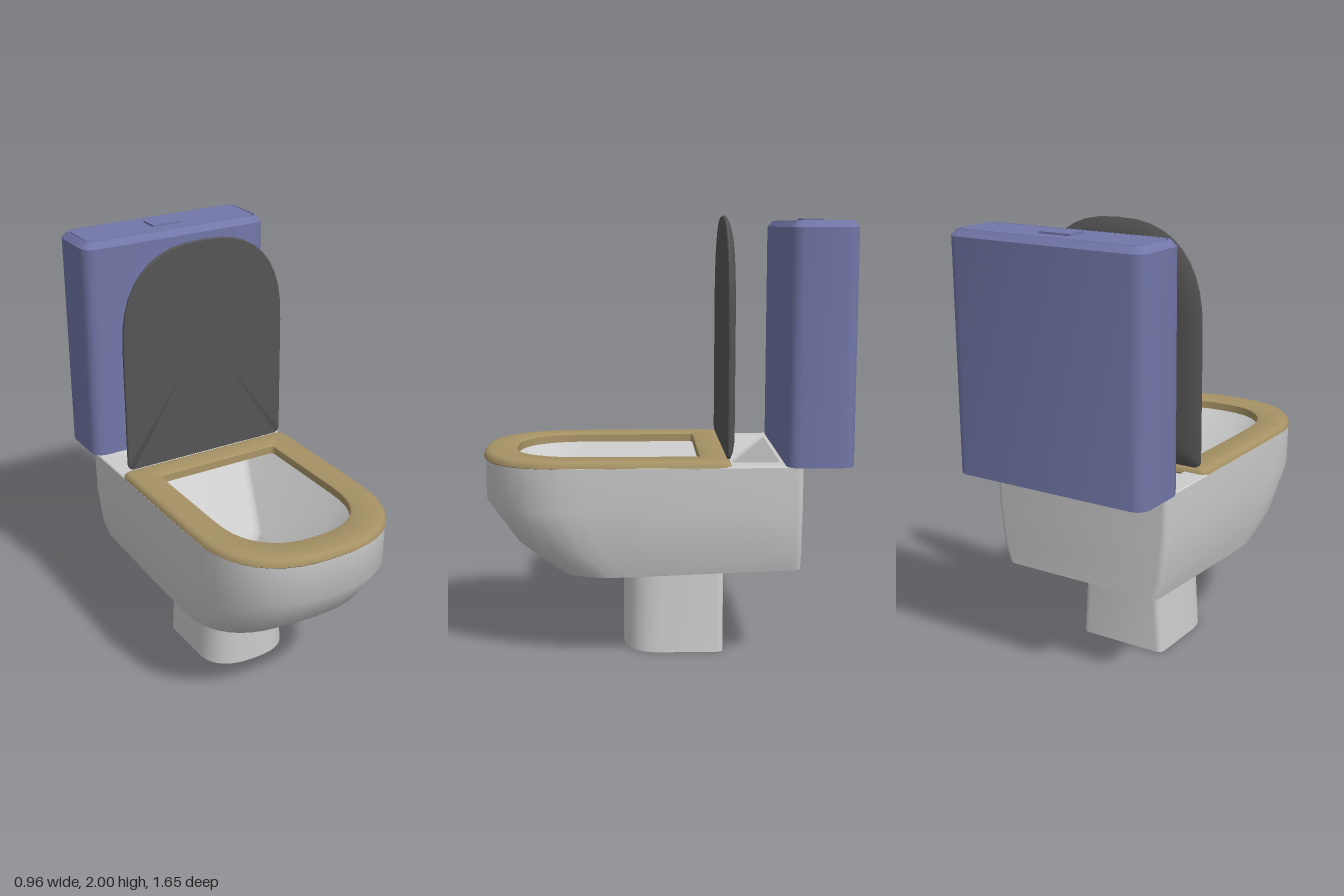
import * as THREE from 'three';
import { toCreasedNormals } from 'three/addons/utils/BufferGeometryUtils.js';

const grey = new THREE.MeshStandardMaterial({ color: 0xcccccc });
const blue = new THREE.MeshStandardMaterial({ color: 0x7277a8 });
const tan = new THREE.MeshStandardMaterial({ color: 0xa69265 });
const dark = new THREE.MeshStandardMaterial({ color: 0x555555 });

// D-shaped plan: superellipse front, straight sides, rounded back corners
function dOutline(hw, back, front, z0, r, n = 2.5) {
  const pts = [], F = 20, C = 4;
  for (let i = 0; i <= F; i++) {
    const a = (i / F) * Math.PI, c = Math.cos(a);
    pts.push([-hw * Math.sign(c) * Math.abs(c) ** (2 / n),
      z0 + (front - z0) * Math.max(0, Math.sin(a)) ** (2 / n)]);
  }
  for (const side of [1, -1])
    for (let i = 0; i <= C; i++) {
      const a = ((i / C) + (side > 0 ? 0 : 1)) * Math.PI / 2;
      pts.push([side * (hw - r) + r * Math.cos(a), back + r - r * Math.sin(a)]);
    }
  return pts;
}

// Rounded rectangle plan
function boxOutline(hw, hd, r, C = 3) {
  const pts = [];
  [[1, -1], [-1, -1], [-1, 1], [1, 1]].forEach(([sx, sz], q) => {
    for (let i = 0; i <= C; i++) {
      const a = (q + i / C) * Math.PI / 2;
      pts.push([sx * (hw - r) + r * Math.cos(a), sz * (hd - r) - r * Math.sin(a)]);
    }
  });
  return pts;
}

// Skin through rings [outline, height or height(z)], with end caps or closed on itself
function loft(rings, { closed = false, crease = 0.7 } = {}) {
  const n = rings[0][0].length, pos = [], idx = [];
  const R = rings.length;
  for (const [outline, y] of rings)
    for (const [x, z] of outline) pos.push(x, typeof y === 'function' ? y(z) : y, z);
  for (let i = 0; i < (closed ? R : R - 1); i++)
    for (let j = 0; j < n; j++) {
      const k = (j + 1) % n, u = ((i + 1) % R) * n;
      const a = i * n + j, b = i * n + k, c = u + k, d = u + j;
      idx.push(a, b, c, a, c, d);
    }
  if (!closed)
    for (const [ring, flip] of [[0, true], [R - 1, false]]) {
      const mid = [0, 0, 0];
      for (let j = 0; j < n; j++)
        for (let c = 0; c < 3; c++) mid[c] += pos[(ring * n + j) * 3 + c] / n;
      const m = pos.length / 3;
      pos.push(...mid);
      for (let j = 0; j < n; j++) {
        const a = ring * n + j, b = ring * n + (j + 1) % n;
        idx.push(m, flip ? b : a, flip ? a : b);
      }
    }
  const g = new THREE.BufferGeometry();
  g.setAttribute('position', new THREE.Float32BufferAttribute(pos, 3));
  g.setIndex(idx);
  return toCreasedNormals(g, crease);
}

function add(parent, name, geometry, material, x = 0, y = 0, z = 0) {
  const mesh = new THREE.Mesh(geometry, material);
  mesh.name = name;
  mesh.position.set(x, y, z);
  parent.add(mesh);
  return mesh;
}

export function createModel() {
  const model = new THREE.Group();
  model.name = 'toilet';
  const cx = -0.01;

  // Pedestal, slightly wider at the floor
  add(model, 'pedestal', loft([
    [dOutline(0.22, -0.28, 0.18, 0, 0.03), 0],
    [dOutline(0.193, -0.28, 0.18, 0, 0.03), 0.4],
  ]), grey, cx);

  // Bowl: underside, outer wall, rim, sloping basin and sump in one skin
  add(model, 'bowl', loft([
    [dOutline(0.19, -0.28, 0.18, 0.05, 0.03), z => 0.377 - 0.03 * z],
    [dOutline(0.395, -0.61, 0.51, 0.16, 0.03), z => 0.418 - 0.036 * z],
    [dOutline(0.425, -0.61, 0.68, 0.27, 0.03), 0.53],
    [dOutline(0.447, -0.61, 0.815, 0.36, 0.03), 0.72],
    [dOutline(0.45, -0.61, 0.815, 0.36, 0.03), 0.915],
    [dOutline(0.445, -0.605, 0.81, 0.36, 0.03), 0.92],
    [dOutline(0.345, -0.515, 0.71, 0.34, 0.03), 0.92],
    [dOutline(0.335, -0.505, 0.70, 0.34, 0.03), 0.91],
    [dOutline(0.15, -0.04, 0.4, 0.34, 0.04, 4), 0.57],
    [dOutline(0.115, -0.01, 0.365, 0.32, 0.03, 4), 0.53],
    [dOutline(0.108, 0, 0.355, 0.31, 0.03, 4), 0.45],
  ]), grey, cx);

  // Seat ring
  const seatOuter = e => dOutline(0.45 - e, -0.295 + e, 0.825 - e, 0.36, 0.03);
  const seatInner = e => dOutline(0.31 + e, -0.16 - e, 0.67 + e, 0.33, 0.02);
  add(model, 'seat', loft([
    [seatOuter(0.01), 0.903], [seatOuter(0), 0.912], [seatOuter(0.003), 0.928],
    [seatOuter(0.014), 0.94], [seatOuter(0.03), 0.944],
    [seatInner(0.012), 0.944], [seatInner(0.002), 0.938], [seatInner(0), 0.903],
  ], { closed: true }), tan, cx);

  // Raised lid: flat towards the front, domed behind
  const lidPlan = e => dOutline(0.42 - e, 0.945 + e, 2 - e, 1.54, 0.03);
  add(model, 'lid', loft([
    [lidPlan(0.004), 0.275], [lidPlan(0), 0.279], [lidPlan(0), 0.288],
    [lidPlan(0.025), 0.302], [lidPlan(0.06), 0.311], [lidPlan(0.1), 0.314],
  ]).rotateX(-Math.PI / 2), dark, cx);

  // Tank with bevelled top edge and a fine groove around the top panel
  const tankPlan = e => boxOutline(0.478 - e, 0.148 - e, 0.055 - e * 0.8);
  add(model, 'tank', loft([
    [tankPlan(0), 0.92], [tankPlan(0), 1.95], [tankPlan(0.025), 1.978],
    [tankPlan(0.03), 1.978], [tankPlan(0.032), 1.968],
    [tankPlan(0.036), 1.968], [tankPlan(0.038), 1.978],
  ], { crease: 0.6 }), blue, 0, 0, -0.68);

  // Flush button
  add(model, 'flushButton', new THREE.BoxGeometry(0.15, 0.02, 0.095), blue, -0.003, 1.977, -0.682);

  return model;
}
